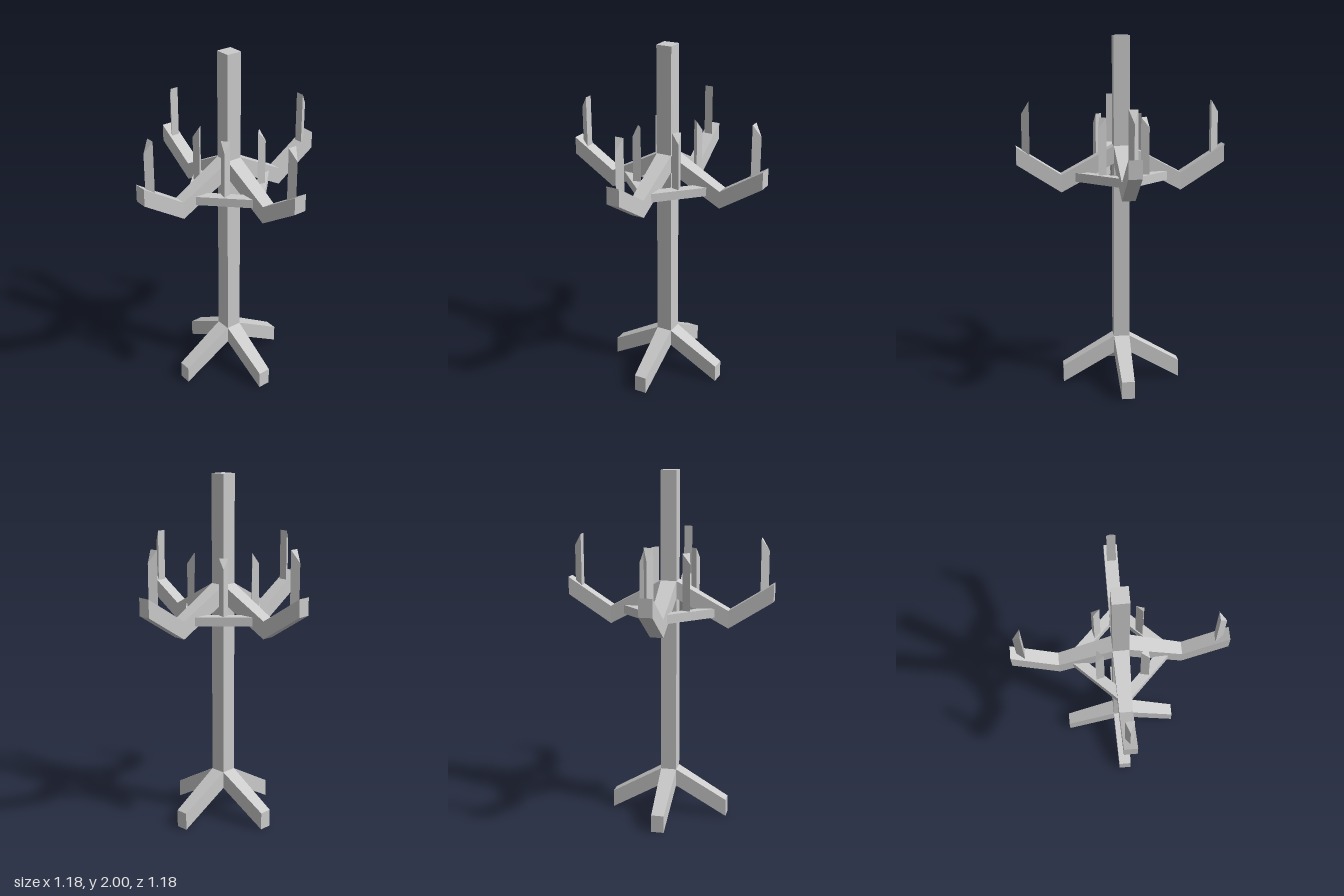
import * as THREE from 'three';

const material = new THREE.MeshStandardMaterial({ color: 0xcccccc, flatShading: true });

// Solid through matching rings of points, each ring counterclockwise about the direction of travel
function loft(name, rings) {
  const pos = [];
  const tri = (a, b, c) => pos.push(...a, ...b, ...c);
  const n = rings[0].length;
  for (let i = 0; i < rings.length - 1; i++) {
    for (let j = 0; j < n; j++) {
      const k = (j + 1) % n;
      tri(rings[i][j], rings[i][k], rings[i + 1][k]);
      tri(rings[i][j], rings[i + 1][k], rings[i + 1][j]);
    }
  }
  const first = rings[0], last = rings[rings.length - 1];
  for (let j = 1; j < n - 1; j++) {
    tri(first[0], first[j + 1], first[j]);
    tri(last[0], last[j], last[j + 1]);
  }
  const geometry = new THREE.BufferGeometry();
  geometry.setAttribute('position', new THREE.Float32BufferAttribute(pos, 3));
  geometry.computeVertexNormals();
  const mesh = new THREE.Mesh(geometry, material);
  mesh.name = name;
  return mesh;
}

// Beam along +x with upright ends; each station is [x, bottom, top, half width]
const beam = (name, stations) => loft(name, stations.map(([x, b, t, w]) =>
  [[x, b, -w], [x, t, -w], [x, t, w], [x, b, w]]));

// Three-sided peg with its sharp edge outward and a top sloping down to that edge
function peg(name, inner, outer, w, bottom, top, topOuter) {
  const ring = (yi, yo) => [[inner, yi, -w], [inner, yi, w], [outer, yo, 0]];
  return loft(name, [ring(bottom, bottom), ring(top, topOuter)]);
}

export function createModel() {
  const model = new THREE.Group();
  model.name = 'stand';

  // Square post
  const post = new THREE.Mesh(new THREE.BoxGeometry(0.09, 1.83, 0.09), material);
  post.name = 'post';
  post.position.y = 1.085;
  model.add(post);

  // Four identical sides around the post
  for (let i = 0; i < 4; i++) {
    const side = new THREE.Group();
    side.name = 'side' + (i + 1);
    side.rotation.y = i * Math.PI / 2;

    side.add(beam('leg', [[0.045, 0.17, 0.27, 0.045], [0.34, 0, 0.1, 0.036]]));
    side.add(beam('arm', [
      [0.045, 1.29, 1.39, 0.045], [0.34, 1.13, 1.23, 0.037], [0.59, 1.29, 1.39, 0.037],
    ]));
    side.add(peg('armPeg', 0.515, 0.558, 0.025, 1.335, 1.637, 1.57));

    // Brace from this arm to the next
    const brace = y => [[0.184, y, 0.036], [0.036, y, 0.184], [0.036, y, 0.264], [0.264, y, 0.036]];
    side.add(loft('brace', [brace(1.19), brace(1.24)]));

    // Peg standing on the brace
    const bracePeg = peg('bracePeg', 0.162, 0.202, 0.025, 1.235, 1.557, 1.5);
    bracePeg.rotation.y = -Math.PI / 4;
    side.add(bracePeg);

    model.add(side);
  }
  return model;
}
